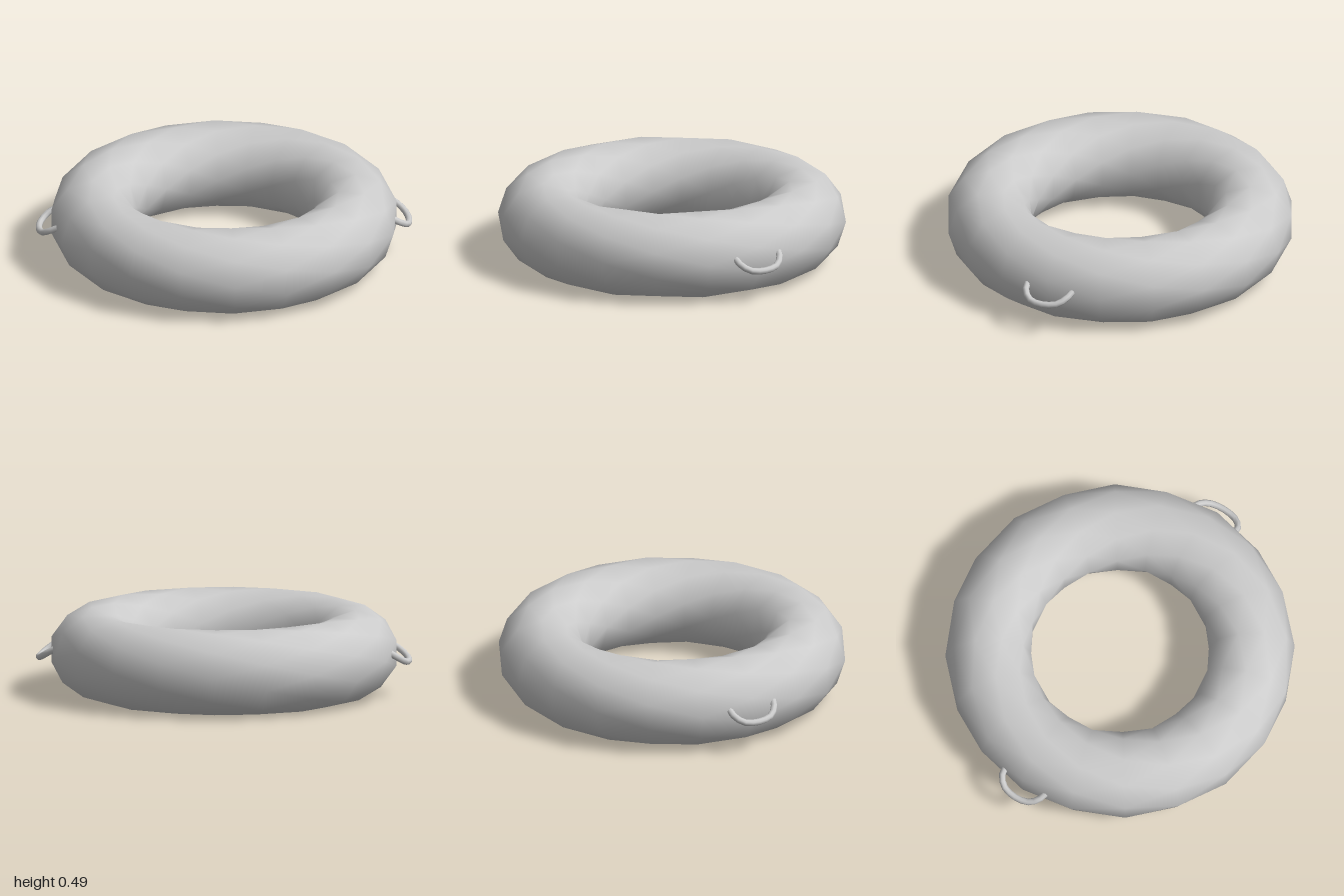
import * as THREE from 'three';

const RINGS = 20, SIDES = 10, MAJOR = 0.755, MINOR = 0.246, HEIGHT = 0.25;

// Low-poly torus whose neighbouring rings are staggered by half a side.
function staggeredTorus() {
  const positions = [], index = [];
  for (let i = 0; i < RINGS; i++) {
    const turn = THREE.MathUtils.degToRad(7 + (i * 360) / RINGS);
    for (let j = 0; j < SIDES; j++) {
      const a = ((j + (i % 2) / 2) / SIDES) * Math.PI * 2;
      const r = MAJOR + MINOR * Math.cos(a);
      positions.push(r * Math.sin(turn), HEIGHT + MINOR * Math.sin(a), r * Math.cos(turn));
    }
  }
  const at = (i, j) => (i % RINGS) * SIDES + ((j + SIDES) % SIDES);
  for (let i = 0; i < RINGS; i++) {
    for (let j = 0; j < SIDES; j++) {
      const a = at(i, j), b = at(i, j + 1), c = at(i + 1, j), d = at(i + 1, j + 1);
      // Join each vertex to its two nearest neighbours on the next ring.
      if (i % 2 === 0) index.push(a, c, b, b, c, d);
      else index.push(a, c, d, a, d, b);
    }
  }
  const geometry = new THREE.BufferGeometry();
  geometry.setAttribute('position', new THREE.Float32BufferAttribute(positions, 3));
  geometry.setIndex(index);
  geometry.computeVertexNormals();
  return geometry;
}

export function createModel() {
  const group = new THREE.Group();
  const material = new THREE.MeshStandardMaterial({ color: 0xcccccc });

  // Inflated ring
  const ring = new THREE.Mesh(staggeredTorus(), material);
  ring.name = 'inflatableRing';
  group.add(ring);

  // Two sagging grab loops on opposite sides
  const path = new THREE.CatmullRomCurve3([
    [0.80, 0.27, -0.555], [0.825, 0.245, -0.59], [0.825, 0.215, -0.65],
    [0.78, 0.208, -0.72], [0.71, 0.22, -0.772], [0.65, 0.25, -0.778], [0.605, 0.275, -0.76],
  ].map((p) => new THREE.Vector3(...p)));
  const loop = new THREE.TubeGeometry(path, 10, 0.019, 8);
  ['backLeftHandle', 'frontRightHandle'].forEach((name, i) => {
    const handle = new THREE.Mesh(loop, material);
    handle.name = name;
    handle.rotation.y = i * Math.PI;
    group.add(handle);
  });
  return group;
}
